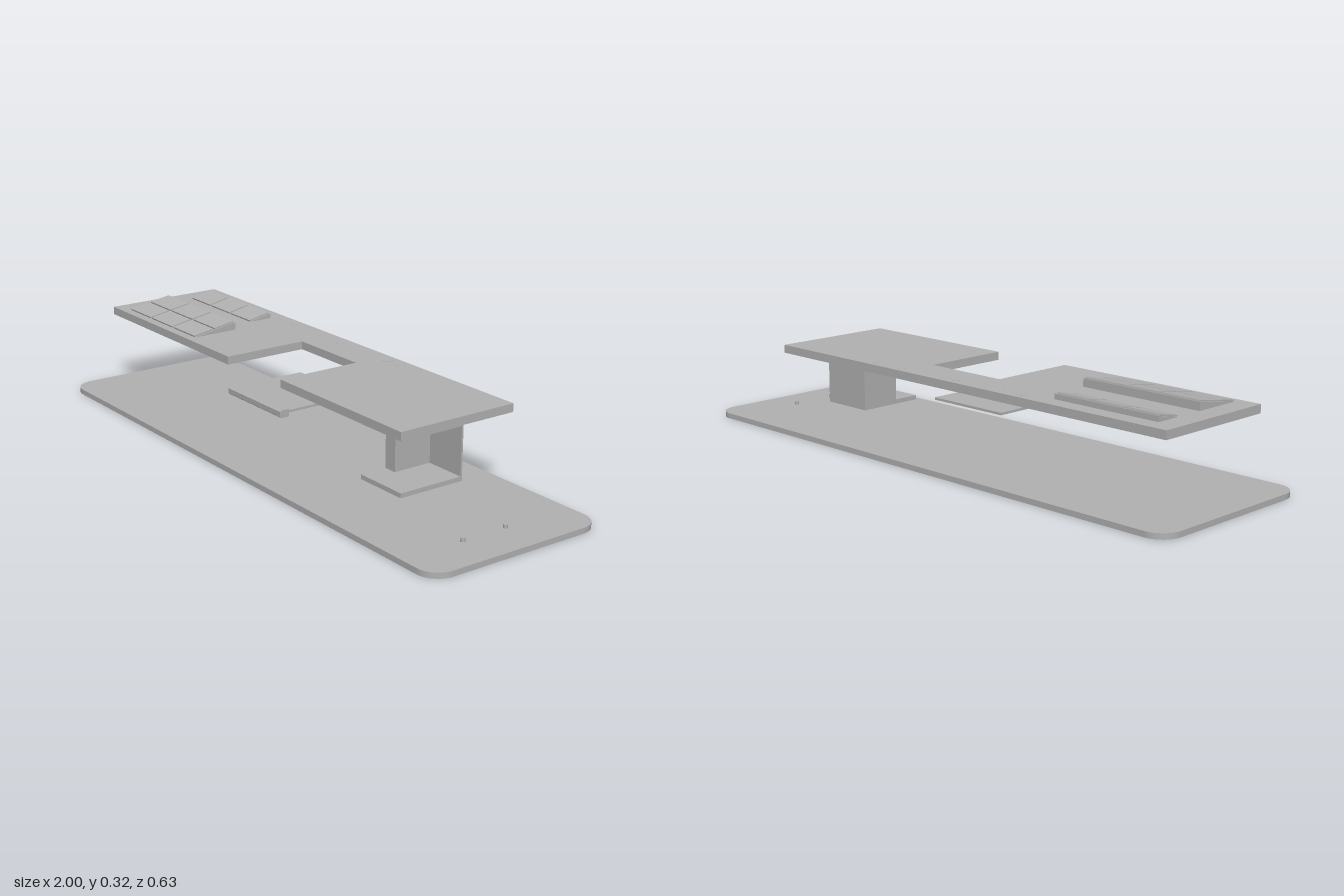
import * as THREE from 'three';

export function createModel() {
  const model = new THREE.Group();
  model.name = 'deskAssembly';
  const grey = new THREE.MeshStandardMaterial({ color: 0xb2b2b2 });
  grey.name = 'plain grey';

  const add = (name, geometry, parent = model) => {
    const mesh = new THREE.Mesh(geometry, grey);
    mesh.name = name;
    parent.add(mesh);
    return mesh;
  };
  // Box given by its limits on each axis
  const box = (name, [x0, x1], [y0, y1], [z0, z1], parent) => {
    const mesh = add(name, new THREE.BoxGeometry(x1 - x0, y1 - y0, z1 - z0), parent);
    mesh.position.set((x0 + x1) / 2, (y0 + y1) / 2, (z0 + z1) / 2);
    return mesh;
  };
  // Flat plate: outline in (x, -z), raised from y0 to y1
  const plate = (name, shape, y0, y1) => {
    const g = new THREE.ExtrudeGeometry(shape, { depth: y1 - y0, bevelEnabled: false, curveSegments: 12 });
    g.rotateX(-Math.PI / 2).translate(0, y0, 0);
    return add(name, g);
  };
  // Side profile in (z, y), swept along x
  const sideProfile = (name, points, x0, x1, parent) => {
    const shape = new THREE.Shape(points.map(([z, y]) => new THREE.Vector2(-z, y)));
    const g = new THREE.ExtrudeGeometry(shape, { depth: x1 - x0, bevelEnabled: false });
    g.rotateY(Math.PI / 2).translate(x0, 0, 0);
    return add(name, g, parent);
  };

  // Base board with rounded corners
  const w = 1, d = 0.313, r = 0.07;
  const base = new THREE.Shape();
  base.moveTo(-w + r, -d);
  base.absarc(w - r, -d + r, r, -Math.PI / 2, 0);
  base.absarc(w - r, d - r, r, 0, Math.PI / 2);
  base.absarc(-w + r, d - r, r, Math.PI / 2, Math.PI);
  base.absarc(-w + r, -d + r, r, Math.PI, Math.PI * 1.5);
  plate('baseBoard', base, 0, 0.018);

  // Two pegs on the base
  for (const z of [0.097, -0.062]) {
    add('peg', new THREE.CylinderGeometry(0.007, 0.007, 0.013, 20)).position.set(0.87, 0.0235, z);
  }

  // Upper deck with a notch open to the front
  const deck = new THREE.Shape([
    [-0.96, -0.158], [-0.213, -0.158], [-0.213, 0.135], [0.08, 0.135],
    [0.08, -0.158], [0.667, -0.158], [0.667, 0.267], [-0.96, 0.267],
  ].map(([x, y]) => new THREE.Vector2(x, y)));
  plate('deck', deck, 0.265, 0.292);

  // Flush round markers along the back of the deck
  for (const x of [-0.4, -0.34, -0.13, 0.12, 0.18, 0.24]) {
    add('deckMarker', new THREE.CylinderGeometry(0.015, 0.015, 0.002, 24)).position.set(x, 0.2915, -0.232);
  }

  // Sloped key blocks: wedge with rows of thin keys on top
  const keyBlock = (name, x0, x1, zFront, zBack, height, rows) => {
    const group = new THREE.Group();
    group.name = name;
    model.add(group);
    sideProfile('wedge', [[zFront, 0.292], [zBack, 0.292], [zBack, 0.292 + height]], x0, x1, group);
    const slope = height / (zFront - zBack);
    const top = z => 0.292 + (zFront - z) * slope;
    const pitch = (x1 - x0) / 3;
    for (const [za, zb] of rows) {
      for (let i = 0; i < 3; i++) {
        const a = x0 + i * pitch + 0.004;
        sideProfile('key', [
          [za, top(za)], [zb, top(zb)], [zb + 0.001, top(zb) + 0.005], [za + 0.001, top(za) + 0.005],
        ], a, a + pitch - 0.008, group);
      }
    }
  };
  keyBlock('frontKeys', -0.89, -0.46, 0.128, -0.033, 0.026, [[0.128, 0.053], [0.047, -0.028]]);
  keyBlock('backKeys', -0.89, -0.51, -0.128, -0.212, 0.017, [[-0.128, -0.205]]);

  // Tray hanging below the notch, with a thicker front lip
  box('tray', [-0.213, 0.08], [0.178, 0.186], [-0.128, 0.13]);
  sideProfile('trayLip', [
    [0.126, 0.165], [0.126, 0.19], [0.154, 0.19], [0.159, 0.186], [0.159, 0.169], [0.154, 0.165],
  ].reverse(), -0.213, 0.08);

  // Channel bracket under the deck
  const bracket = new THREE.Group();
  bracket.name = 'bracket';
  model.add(bracket);
  const span = [0.45, 0.635];
  box('bracketFoot', span, [0.075, 0.09], [-0.103, 0.128], bracket);
  box('bracketTop', span, [0.247, 0.262], [-0.103, 0.128], bracket);
  box('bracketBack', span, [0.09, 0.247], [-0.103, -0.097], bracket);
  box('bracketPost', [0.45, 0.495], [0.09, 0.247], [-0.097, 0.037], bracket);

  return model;
}
